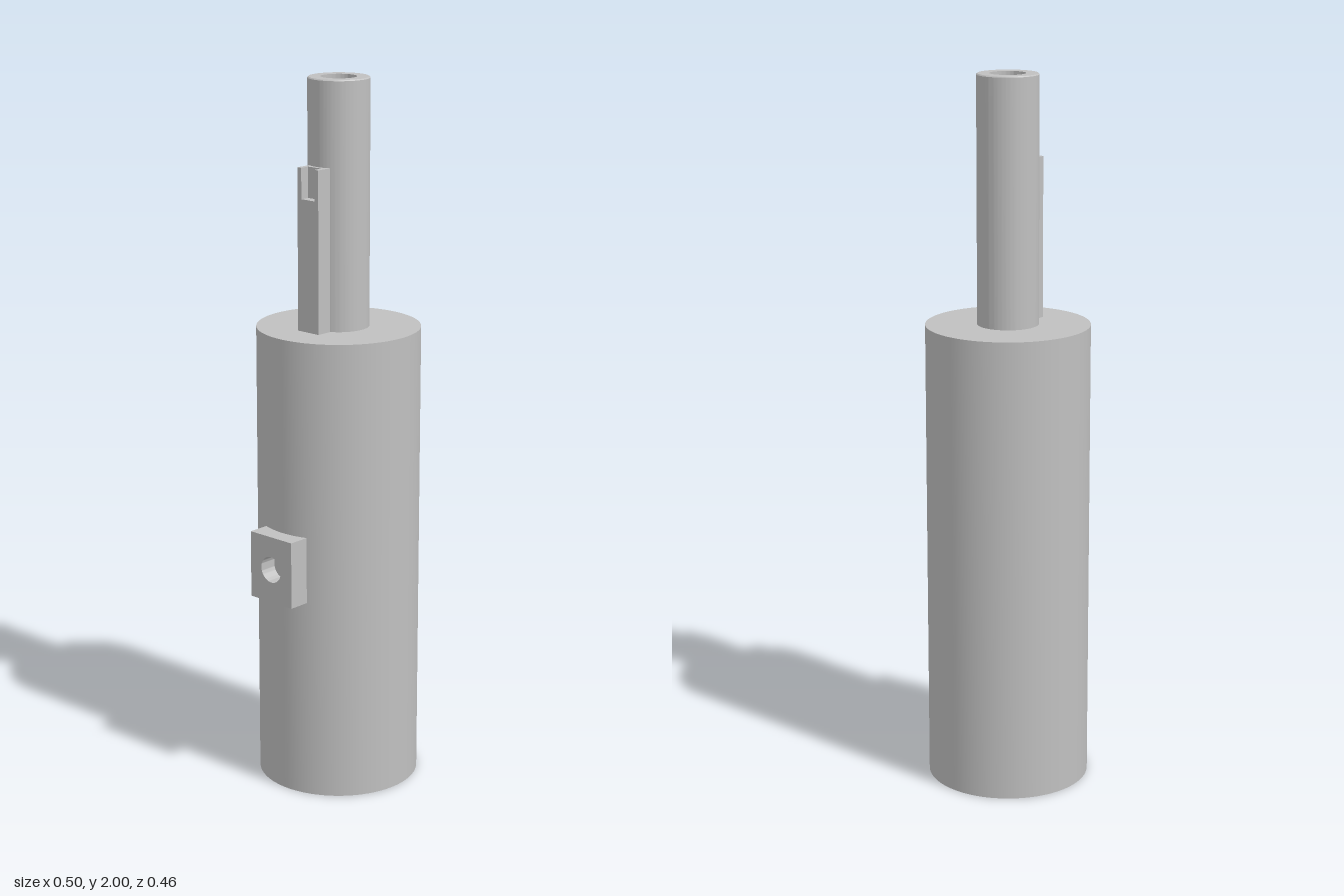
import * as THREE from 'three';
import { toCreasedNormals } from 'three/addons/utils/BufferGeometryUtils.js';

const AXIS_X = 0.023;
const BODY_R = 0.228, BODY_TOP = 1.315;
const CAVITY_R = 0.19, GROOVE_R = 0.207;
const TUBE_R = 0.085, BORE_R = 0.049;

export function createModel() {
  const group = new THREE.Group();
  const grey = new THREE.MeshStandardMaterial({ color: 0xc0c0c0 });
  grey.name = 'plain grey';

  const add = (name, geometry, x = 0, y = 0, z = 0) => {
    const mesh = new THREE.Mesh(toCreasedNormals(geometry, 0.6), grey);
    mesh.name = name;
    mesh.position.set(x, y, z);
    group.add(mesh);
    return mesh;
  };
  const extrude = (shape, depth) =>
    new THREE.ExtrudeGeometry(shape, { depth, bevelEnabled: false, curveSegments: 48 });
  const polygon = (points) => new THREE.Shape(points.map(([x, y]) => new THREE.Vector2(x, y)));

  // Hollow body and narrow tube, turned as one closed profile
  const profile = [
    [GROOVE_R, 0], [BODY_R, 0], [BODY_R, BODY_TOP], [TUBE_R, BODY_TOP],
    [TUBE_R, 1.997], [TUBE_R - 0.003, 2], [BORE_R, 2], [BORE_R, 1.24],
    [CAVITY_R, 1.24], [CAVITY_R, 0.13], [GROOVE_R, 0.13], [GROOVE_R, 0],
  ].map(([r, y]) => new THREE.Vector2(r, y));
  add('bodyAndTube', new THREE.LatheGeometry(profile, 96), AXIS_X);

  // Inner lip at the open end, split by a slot at the front and the back
  const gap = 0.13;
  for (const [name, turn] of [['leftLip', 0], ['rightLip', Math.PI]]) {
    const from = turn - Math.PI / 2 + gap, to = turn + Math.PI / 2 - gap;
    const lip = new THREE.Shape();
    lip.absarc(0, 0, GROOVE_R + 0.005, from, to, false);
    lip.absarc(0, 0, CAVITY_R, to, from, true);
    add(name, extrude(lip, 0.074).rotateX(-Math.PI / 2), AXIS_X, 0.001);
  }

  // Side block with a round hole
  const block = polygon([[-0.077, -0.095], [0.077, -0.095], [0.077, 0.095], [-0.077, 0.095]]);
  const hole = new THREE.Path();
  hole.absarc(0, 0, 0.037, 0, Math.PI * 2, true);
  block.holes.push(hole);
  add('sideBlock', extrude(block, 0.068).rotateY(-Math.PI / 2), -0.185, 0.67);

  // Rail beside the tube, with a notch open to the outside at its top
  const railBottom = 1.305, notchFloor = 1.68, railTop = 1.765;
  const solid = polygon([[-0.1, -0.038], [-0.045, -0.038], [-0.045, 0.038], [-0.1, 0.038]]);
  const fork = polygon([
    [-0.1, -0.038], [-0.045, -0.038], [-0.045, 0.038], [-0.1, 0.038],
    [-0.1, 0.024], [-0.073, 0.024], [-0.073, -0.024], [-0.1, -0.024],
  ]);
  add('rail', extrude(solid, notchFloor - railBottom).rotateX(-Math.PI / 2), 0, railBottom);
  add('railFork', extrude(fork, railTop - notchFloor).rotateX(-Math.PI / 2), 0, notchFloor);

  return group;
}
